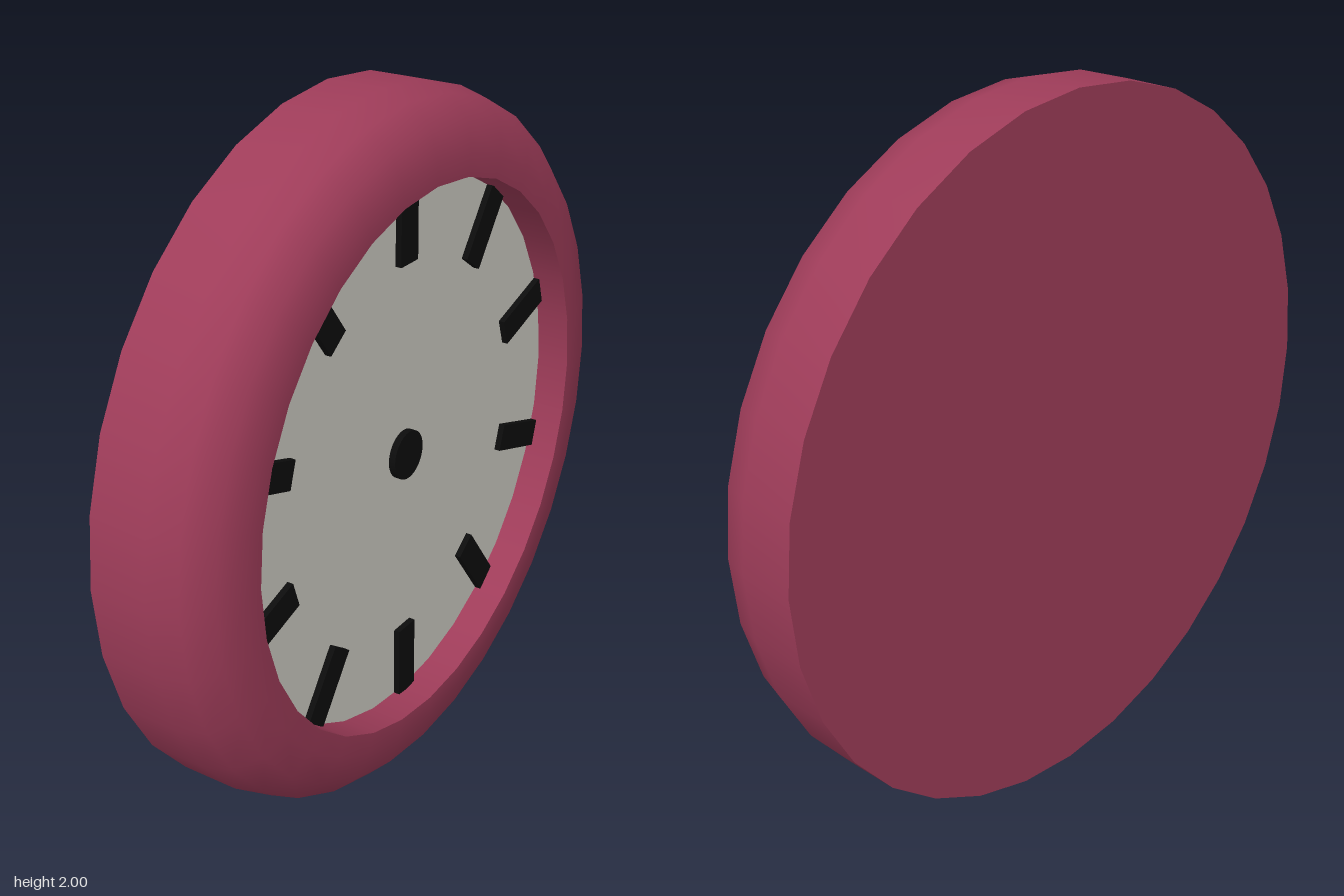
import * as THREE from 'three';

const SEGMENTS = 32;
const HALF = 0.166;   // half the depth of the case
const DIAL = 0.067;   // height of the dial face
const RIM = 0.775;    // radius of the opening

export function createModel() {
  const group = new THREE.Group();
  group.name = 'wallClock';

  const red = new THREE.MeshStandardMaterial({ color: 0x9e3c59 });
  const cream = new THREE.MeshStandardMaterial({ color: 0xcfcdc4 });
  const black = new THREE.MeshStandardMaterial({ color: 0x0c0c0c });

  // The clock is built lying down along y, then turned to face +x
  const clock = new THREE.Group();
  clock.name = 'clock';
  clock.rotation.z = -Math.PI / 2;
  clock.position.y = 1;
  group.add(clock);

  const add = (name, geometry, material, parent = clock) => {
    const mesh = new THREE.Mesh(geometry, material);
    mesh.name = name;
    parent.add(mesh);
    return mesh;
  };
  const lathe = (points) =>
    new THREE.LatheGeometry(points.map(([r, y]) => new THREE.Vector2(r, y)), SEGMENTS);

  // Case side, rounded shoulder and flat front rim
  const side = [[1, -HALF], [1, 0]];
  for (let i = 1; i <= 3; i++) {
    const a = (i * Math.PI) / 6;
    side.push([1 - HALF + HALF * Math.cos(a), HALF * Math.sin(a)]);
  }
  side.push([RIM, HALF]);
  add('caseSide', lathe(side), red);

  // Separate surfaces keep the edges sharp
  add('innerWall', lathe([[RIM, HALF], [RIM, DIAL - 0.01]]), red);
  add('caseBack', lathe([[0, -HALF], [1, -HALF]]), red);

  // Dial face
  add('dial', lathe([[RIM, DIAL], [0, DIAL]]), cream);

  // Ten markers running under the rim
  const markers = new THREE.Group();
  markers.name = 'markers';
  clock.add(markers);
  const markerGeometry = new THREE.BoxGeometry(0.25, 0.03, 0.08);
  markerGeometry.translate(0.555 + 0.125, DIAL + 0.003, 0);
  for (let i = 0; i < 10; i++) {
    add('marker', markerGeometry, black, markers).rotation.y = (i * Math.PI) / 5;
  }

  // Centre hub
  const hub = add('hub', new THREE.CylinderGeometry(0.07, 0.07, 0.03, SEGMENTS), black);
  hub.position.y = DIAL + 0.005;

  return group;
}
